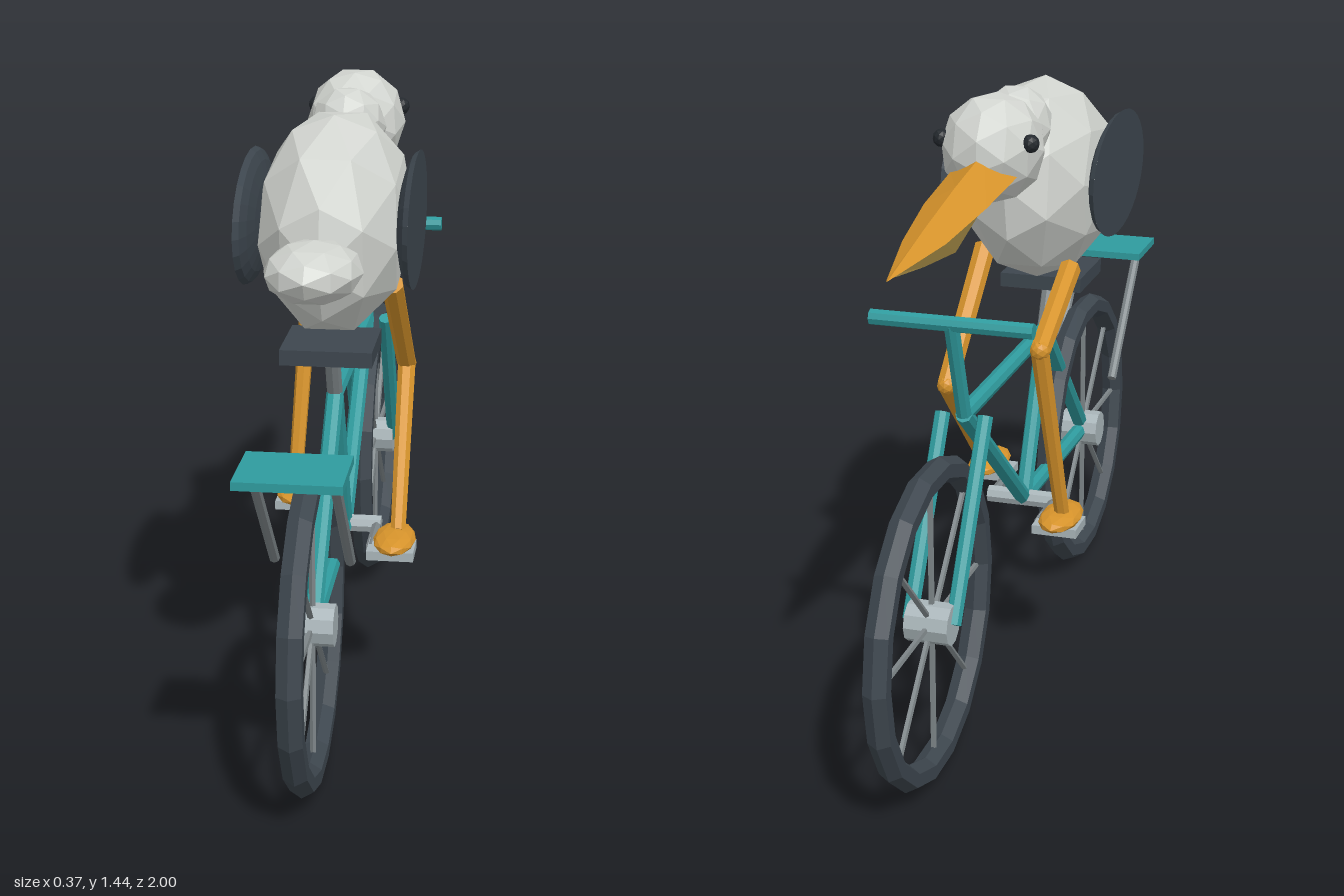
import * as THREE from 'three';

const mat = (name, color, extra = {}) => {
  const m = new THREE.MeshStandardMaterial({ color, flatShading: true, ...extra });
  m.name = name;
  return m;
};

export function createModel() {
  const teal = mat('teal paint', 0x2f9b9e);
  const steel = mat('steel', 0x7d8588);
  const silver = mat('silver', 0xa9b5b9);
  const dark = mat('dark slate', 0x3d464e);
  const black = mat('eye black', 0x23282d);
  const feather = mat('feather', 0xd2d5d0);
  const orange = mat('orange', 0xd6932b);
  const pouchTan = mat('pouch yellow', 0xd2b15a, { side: THREE.DoubleSide });

  const model = new THREE.Group();
  const bike = new THREE.Group();
  bike.name = 'bicycle';
  const bird = new THREE.Group();
  bird.name = 'bird';
  model.add(bike, bird);

  const add = (parent, name, geo, material, pos = [0, 0, 0]) => {
    const m = new THREE.Mesh(geo, material);
    m.name = name;
    m.position.set(...pos);
    parent.add(m);
    return m;
  };
  // Straight tube between two points
  const rod = (parent, name, a, b, r, material, sides = 8, rEnd = r) => {
    const p = new THREE.Vector3(...a), q = new THREE.Vector3(...b);
    const d = q.clone().sub(p);
    const m = add(parent, name, new THREE.CylinderGeometry(rEnd, r, d.length(), sides), material);
    m.position.copy(p).add(q).multiplyScalar(0.5);
    m.quaternion.setFromUnitVectors(new THREE.Vector3(0, 1, 0), d.normalize());
    return m;
  };
  // Faceted ellipsoid
  const blob = (name, pos, radii, material, tilt = 0, detail = 1) => {
    const m = add(bird, name, new THREE.IcosahedronGeometry(1, detail), material, pos);
    m.scale.set(...radii);
    m.rotation.x = tilt;
    return m;
  };

  // Wheels with hub and spokes
  for (const [name, z] of [['rearWheel', 0.63], ['frontWheel', -0.63]]) {
    const wheel = new THREE.Group();
    wheel.name = name;
    wheel.position.set(0, 0.375, z);
    bike.add(wheel);
    add(wheel, 'tire', new THREE.TorusGeometry(0.34, 0.03, 6, 18), dark).rotation.y = Math.PI / 2;
    rod(wheel, 'hub', [-0.05, 0, 0], [0.05, 0, 0], 0.047, silver, 10);
    for (let i = 0; i < 4; i++) {
      const a = (i * Math.PI) / 4, y = 0.33 * Math.cos(a), w = 0.33 * Math.sin(a);
      rod(wheel, 'spoke', [0, -y, -w], [0, y, w], 0.007, steel, 5);
    }
  }

  // Frame
  const rear = [0, 0.375, 0.63], seatTop = [0, 0.775, 0.245];
  const crank = [0, 0.39, 0.07], head = [0, 0.775, -0.395];
  const tubes = { chainStay: [rear, crank], seatStay: [rear, seatTop], seatTube: [crank, seatTop],
    topTube: [seatTop, head], downTube: [crank, head] };
  for (const [name, [a, b]] of Object.entries(tubes)) rod(bike, name, a, b, 0.02, teal);
  for (const s of [-1, 1])
    rod(bike, 'forkLeg', [s * 0.05, 0.375, -0.63], [s * 0.05, 0.775, -0.395], 0.018, teal);
  rod(bike, 'stem', head, [0, 1.01, -0.475], 0.018, teal);
  rod(bike, 'handlebar', [-0.185, 1.01, -0.475], [0.185, 1.01, -0.475], 0.018, teal);

  // Saddle and rack
  rod(bike, 'seatPost', seatTop, [0, 0.91, 0.305], 0.018, steel);
  add(bike, 'saddle', new THREE.BoxGeometry(0.205, 0.035, 0.2), dark, [0, 0.907, 0.31]);
  add(bike, 'rack', new THREE.BoxGeometry(0.22, 0.018, 0.18), teal, [0, 0.82, 0.892]);
  for (const s of [-1, 1])
    rod(bike, 'rackStrut', [s * 0.082, 0.525, 0.627], [s * 0.082, 0.818, 0.9], 0.012, steel);

  // Cranks, pedals and the bird's legs on each side
  rod(bike, 'crankAxle', [-0.09, 0.39, 0.07], [0.09, 0.39, 0.07], 0.022, silver);
  const sides = [
    { s: 1, pedal: 0.225, hip: [0.12, 1.01, 0.14], knee: [0.13, 0.74, -0.13], ankle: [0.143, 0.425, 0.2] },
    { s: -1, pedal: -0.07, hip: [-0.12, 1.0, 0.05], knee: [-0.125, 0.88, -0.22], ankle: [-0.143, 0.425, -0.085] },
  ];
  for (const { s, pedal, hip, knee, ankle } of sides) {
    rod(bike, 'crankArm', [s * 0.08, 0.39, 0.07], [s * 0.08, 0.39, pedal], 0.012, steel, 6);
    add(bike, 'pedal', new THREE.BoxGeometry(0.11, 0.022, 0.09), silver, [s * 0.13, 0.389, pedal]);
    rod(bird, 'thigh', hip, knee, 0.026, orange, 7, 0.024);
    rod(bird, 'shin', knee, ankle, 0.022, orange, 7, 0.018);
    blob('kneeJoint', knee, [0.024, 0.024, 0.024], orange);
    blob('foot', [s * 0.137, 0.415, pedal - 0.005], [0.05, 0.022, 0.095], orange);
  }

  // Body, tail, neck and head
  blob('body', [0, 1.175, 0.215], [0.178, 0.245, 0.315], feather, 0.15);
  blob('tail', [0, 1.15, 0.585], [0.105, 0.066, 0.162], feather, -0.08);
  blob('neck', [0, 1.345, -0.015], [0.088, 0.09, 0.115], feather, -0.4);
  blob('head', [0, 1.33, -0.17], [0.118, 0.125, 0.13], feather, 0.3);

  for (const s of [-1, 1]) {
    blob('eye', [s * 0.103, 1.357, -0.225], [0.02, 0.021, 0.021], black);
    // Wing: flat oval outside, shallow dome against the body
    const wing = new THREE.Group();
    wing.name = 'wing';
    wing.position.set(s * 0.186, 1.19, 0.253);
    wing.rotation.z = -s * Math.PI / 2;
    wing.scale.set(0.148, 0.04, 0.25);
    bird.add(wing);
    add(wing, 'wingFace', new THREE.CircleGeometry(1, 32), dark).rotation.x = -Math.PI / 2;
    add(wing, 'wingDome',
      new THREE.SphereGeometry(1, 24, 5, 0, Math.PI * 2, Math.PI / 2, Math.PI / 2), dark);
  }

  // Beak halves lofted from triangular sections: [z, half width, side y, ridge or keel y]
  const loft = (rows, up) => {
    const v = [], idx = [];
    rows.forEach(([z, w, y, k]) => v.push(-w, y, z, 0, k, z, w, y, z));
    for (let i = 0; i < rows.length - 1; i++)
      for (let j = 0; j < 3; j++) {
        const a = i * 3 + j, b = i * 3 + ((j + 1) % 3), c = a + 3, d = b + 3;
        idx.push(...(up ? [a, b, c, b, d, c] : [a, c, b, b, c, d]));
      }
    const g = new THREE.BufferGeometry();
    g.setAttribute('position', new THREE.Float32BufferAttribute(v, 3));
    g.setIndex(idx);
    const flat = g.toNonIndexed();
    flat.computeVertexNormals();
    return flat;
  };
  const upperRows = [[-0.24, 0.078, 1.285, 1.335], [-0.44, 0.07, 1.262, 1.302],
    [-0.64, 0.047, 1.235, 1.262], [-0.86, 0.001, 1.214, 1.218]];
  const pouchRows = [[-0.24, 0.07, 1.287, 1.235], [-0.44, 0.062, 1.263, 1.16],
    [-0.64, 0.04, 1.237, 1.183], [-0.81, 0.004, 1.218, 1.209]];
  const beakOrange = orange.clone();
  beakOrange.name = 'beak orange';
  beakOrange.side = THREE.DoubleSide;
  add(bird, 'upperBeak', loft(upperRows, true), beakOrange);
  add(bird, 'beakPouch', loft(pouchRows, false), pouchTan);

  return model;
}
